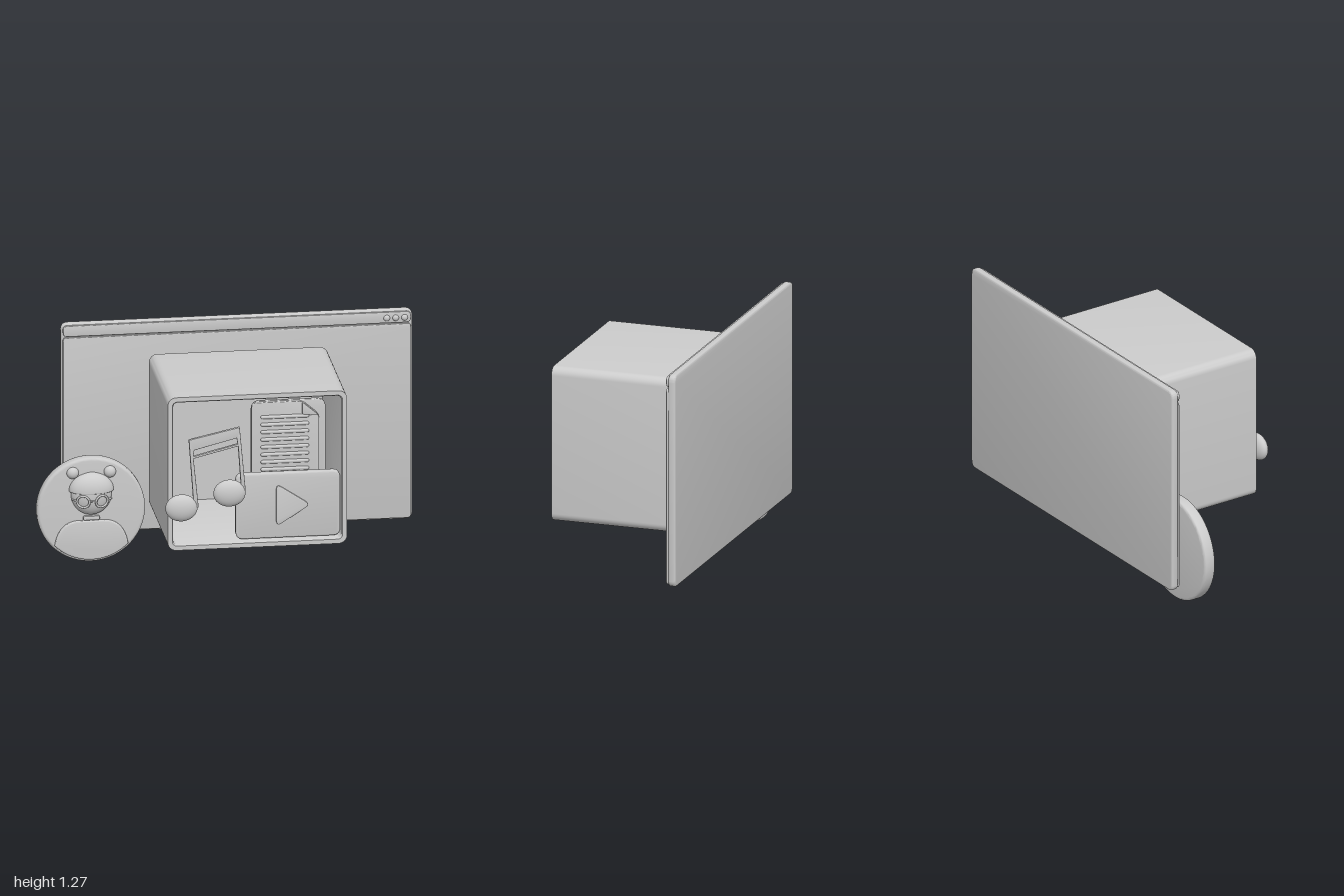
import * as THREE from 'three';
import { toCreasedNormals } from 'three/addons/utils/BufferGeometryUtils.js';

const mat = new THREE.MeshStandardMaterial({ color: 0xcccccc });
const matDouble = new THREE.MeshStandardMaterial({ color: 0xcccccc, side: THREE.DoubleSide });

function add(parent, name, geo, x = 0, y = 0, z = 0, material = mat) {
  const m = new THREE.Mesh(geo, material);
  m.name = name;
  m.position.set(x, y, z);
  parent.add(m);
  return m;
}

function group(parent, name) {
  const g = new THREE.Group();
  g.name = name;
  parent.add(g);
  return g;
}

// Polygon with rounded corners, given counter-clockwise
function roundPoly(pts, r) {
  const v = pts.map(p => new THREE.Vector2(...p));
  const s = new THREE.Shape();
  v.forEach((p, i) => {
    const toward = q => p.clone().add(q.clone().sub(p).setLength(r));
    const a = toward(v[(i + v.length - 1) % v.length]);
    const b = toward(v[(i + 1) % v.length]);
    if (i) s.lineTo(a.x, a.y); else s.moveTo(a.x, a.y);
    s.quadraticCurveTo(p.x, p.y, b.x, b.y);
  });
  s.closePath();
  return s;
}

const rect = (x0, x1, y0, y1, r) => roundPoly([[x0, y0], [x1, y0], [x1, y1], [x0, y1]], r);

// Flat plate between two depths with softened edges
function plate(shape, z0, z1, bevel = 0.006, segs = 10) {
  const g = new THREE.ExtrudeGeometry(shape, {
    depth: z1 - z0 - 2 * bevel, bevelEnabled: true, bevelThickness: bevel,
    bevelSize: bevel, bevelOffset: -bevel, bevelSegments: 3, curveSegments: segs,
  });
  g.translate(0, 0, z0 + bevel);
  return toCreasedNormals(g, 0.6);
}

// Rounded-rectangle rings [half width, half height, corner radius, z] joined in order
function loftRects(rings, cx, cy) {
  const n = 8, per = 4 * (n + 1), pos = [], idx = [];
  for (const [w, h, r, z] of rings) {
    [[1, 1], [-1, 1], [-1, -1], [1, -1]].forEach(([sx, sy], q) => {
      for (let i = 0; i <= n; i++) {
        const a = (q + i / n) * Math.PI / 2;
        pos.push(cx + sx * (w - r) + r * Math.cos(a), cy + sy * (h - r) + r * Math.sin(a), z);
      }
    });
  }
  for (let k = 0; k < rings.length - 1; k++) {
    for (let i = 0; i < per; i++) {
      const a = k * per + i, b = k * per + (i + 1) % per;
      idx.push(a, b, b + per, a, b + per, a + per);
    }
  }
  const g = new THREE.BufferGeometry();
  g.setAttribute('position', new THREE.Float32BufferAttribute(pos, 3));
  g.setIndex(idx);
  return toCreasedNormals(g, 0.6);
}

function ellipsoid(rx, ry, rz) {
  return new THREE.SphereGeometry(1, 32, 20).scale(rx, ry, rz);
}

function buildWindow(root) {
  const g = group(root, 'windowPanel');
  add(g, 'panelBack', plate(rect(-0.857, 0.995, 0.12, 1.274, 0.04), -0.465, -0.425, 0.01));
  add(g, 'panelScreen', plate(rect(-0.848, 0.986, 0.13, 1.199, 0.02), -0.43, -0.412, 0.003));
  add(g, 'panelHeader', plate(rect(-0.848, 0.986, 1.205, 1.264, 0.025), -0.43, -0.412, 0.003));
  for (const x of [0.858, 0.905, 0.952]) {
    add(g, 'windowButton', ellipsoid(0.017, 0.017, 0.013), x, 1.232, -0.414);
  }
}

function buildBox(root) {
  const W = 0.4725, H = 0.42, R = 0.045, rings = [[0, 0, 0, -0.38]];
  // Rounded rear edge
  for (let i = 0; i <= 6; i++) {
    const a = i / 6 * Math.PI / 2, inset = 0.035 * (1 - Math.sin(a));
    rings.push([W - inset, H - inset, R - inset, -0.345 - 0.035 * Math.cos(a)]);
  }
  // Rim and cavity
  rings.push([W, H, R, 0.38], [W - 0.024, H - 0.024, 0.026, 0.38],
    [W - 0.03, H - 0.03, 0.022, 0.37], [W - 0.03, H - 0.03, 0.022, -0.35], [0, 0, 0, -0.35]);
  add(root, 'openBox', loftRects(rings, 0.0675, 0.69));
}

function buildDocument(root) {
  const g = group(root, 'document');
  add(g, 'backSheet', plate(rect(0.053, 0.446, 0.42, 1.026, 0.05), 0.22, 0.245, 0.005));
  const front = roundPoly([[0.053, 0.42], [0.41, 0.42], [0.41, 0.945], [0.318, 1.024], [0.053, 1.024]], 0.03);
  add(g, 'frontSheet', plate(front, 0.24, 0.26, 0.004));
  add(g, 'foldedCorner', plate(roundPoly([[0.318, 0.952], [0.41, 0.942], [0.318, 1.02]], 0.012), 0.255, 0.272, 0.003));
  for (let i = 0; i < 9; i++) {
    const line = new THREE.CapsuleGeometry(0.01, 0.235, 6, 10).rotateZ(Math.PI / 2);
    add(g, 'textLine', line, 0.228, 0.942 - i * 0.041, 0.261);
  }
}

function buildVideo(root) {
  const g = group(root, 'videoCard');
  add(g, 'card', plate(rect(-0.042, 0.508, 0.305, 0.662, 0.04), 0.31, 0.35, 0.008));
  add(g, 'playTriangle', plate(roundPoly([[0.17, 0.37], [0.35, 0.485], [0.17, 0.605]], 0.035), 0.34, 0.362, 0.004));
}

function buildNote(root) {
  const g = group(root, 'musicNote');
  const frame = roundPoly([
    [-0.272, 0.56], [-0.25, 0.56], [-0.278, 0.79], [-0.042, 0.85], [-0.016, 0.6],
    [-0.002, 0.6], [-0.034, 0.952], [-0.302, 0.893]], 0.006);
  // Both stems lean slightly and share a sloping beam
  frame.curves.length = 0;
  frame.setFromPoints([
    [-0.275, 0.52], [-0.25, 0.52], [-0.277, 0.79], [-0.042, 0.848], [-0.025, 0.6],
    [-0.002, 0.6], [-0.034, 0.952], [-0.302, 0.893]].map(p => new THREE.Vector2(...p)));
  frame.holes.push(new THREE.Path([
    [-0.278, 0.802], [-0.273, 0.836], [-0.05, 0.893], [-0.044, 0.86]].map(p => new THREE.Vector2(...p))));
  add(g, 'stemsAndBeam', plate(frame, 0.421, 0.439, 0.002));
  add(g, 'noteHead', ellipsoid(0.085, 0.073, 0.038), -0.34, 0.52, 0.43);
  add(g, 'noteHead', ellipsoid(0.085, 0.073, 0.038), -0.087, 0.59, 0.43);
}

function buildBadge(root) {
  const g = group(root, 'profileBadge');
  g.position.set(-0.716, 0.29, 0);
  const disc = new THREE.Shape().absarc(0, 0, 0.285, 0, Math.PI * 2, false);
  add(g, 'badgeDisc', plate(disc, -0.355, -0.288, 0.015, 40));

  // Shoulders follow the edge of the disc
  const a = 0.77, r = 0.27, sx = r * Math.cos(a), sy = -r * Math.sin(a);
  const body = new THREE.Shape();
  body.absarc(0, 0, r, Math.PI + a, 2 * Math.PI - a, false);
  body.bezierCurveTo(sx - 0.015, sy + 0.09, sx - 0.06, -0.055, 0.06, -0.055);
  body.lineTo(-0.06, -0.055);
  body.bezierCurveTo(-sx + 0.06, -0.055, -sx + 0.015, sy + 0.09, -sx, sy);
  add(g, 'shoulders', plate(body, -0.3, -0.272, 0.008, 20));

  add(g, 'collar', plate(rect(-0.043, 0.043, -0.052, -0.03, 0.009), -0.3, -0.27, 0.004));
  add(g, 'head', ellipsoid(0.108, 0.116, 0.058), 0, 0.092, -0.29);
  const cap = new THREE.SphereGeometry(1, 32, 12, 0, Math.PI * 2, 0, Math.PI / 2).scale(0.118, 0.096, 0.065);
  add(g, 'cap', cap, 0, 0.11, -0.29, matDouble);
  add(g, 'capBrim', new THREE.TorusGeometry(1, 0.05, 8, 40).rotateX(Math.PI / 2).scale(0.112, 0.1, 0.061), 0, 0.109, -0.29);

  for (const s of [-1, 1]) {
    add(g, 'capBall', ellipsoid(0.032, 0.032, 0.028), s * 0.098, 0.207, -0.29);
    const ring = add(g, 'glassesRing', new THREE.TorusGeometry(0.033, 0.006, 8, 28), s * 0.049, 0.062, -0.237);
    ring.rotation.set(0.15, s * 0.28, 0);
    const arm = add(g, 'glassesArm', new THREE.CapsuleGeometry(0.005, 0.03, 4, 8), s * 0.093, 0.066, -0.258);
    arm.rotation.set(0, s * 0.9, Math.PI / 2);
  }
  add(g, 'glassesBridge', new THREE.CapsuleGeometry(0.005, 0.03, 4, 8).rotateZ(Math.PI / 2), 0, 0.066, -0.23);
}

export function createModel() {
  const root = new THREE.Group();
  root.name = 'mediaBoxScene';
  buildWindow(root);
  buildBox(root);
  buildDocument(root);
  buildVideo(root);
  buildNote(root);
  buildBadge(root);
  return root;
}
